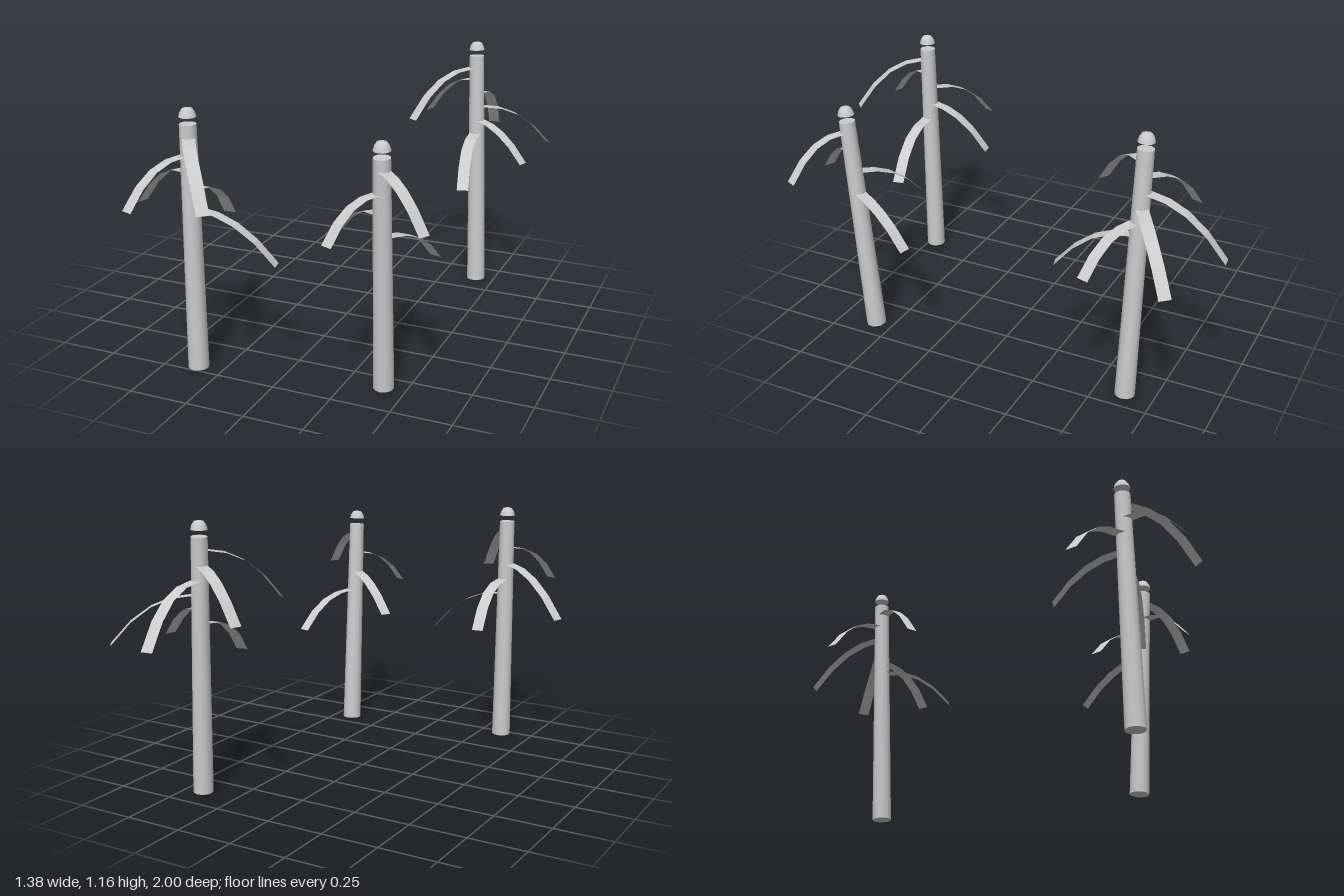
import * as THREE from 'three';

const bark = new THREE.MeshStandardMaterial({ color: 0xcccccc });
const leaf = new THREE.MeshStandardMaterial({ color: 0xcccccc, flatShading: true, side: THREE.DoubleSide });
const UP = new THREE.Vector3(0, 1, 0);

// Foot and head of each trunk; frond tips run from the highest frond to the lowest
const TREES = [
  { foot: [-0.357, 0, 0.714], head: [-0.356, 1.035, 0.716],
    tips: [[-0.15, 0.775, 0.98], [-0.485, 0.74, 0.973], [-0.68, 0.63, 0.567], [-0.356, 0.575, 0.41], [0, 0.497, 0.69]] },
  { foot: [0.407, 0, 0.58], head: [0.418, 0.975, 0.65],
    tips: [[0.64, 0.75, 0.797], [0.285, 0.678, 0.857], [0.152, 0.58, 0.472], [0.527, 0.488, 0.33]] },
  { foot: [0.415, 0, -0.628], head: [0.372, 1.09, -0.653],
    tips: [[0.155, 0.825, -0.4], [0.105, 0.778, -0.784], [0.372, 0.69, -0.995], [0.675, 0.655, -0.863], [0.646, 0.637, -0.525], [0.43, 0.548, -0.31]] },
];

// Drooping strip from the trunk to the tip, bowed slightly sideways
function frondGeometry(base, tip, segments = 4, width = 0.051) {
  const run = new THREE.Vector3(tip.x - base.x, 0, tip.z - base.z);
  const side = new THREE.Vector3().crossVectors(run, UP).normalize();
  const at = (t) => base.clone().addScaledVector(run, t)
    .addScaledVector(UP, (tip.y - base.y) * t ** 2.4)
    .addScaledVector(side, 0.012 * Math.sin(Math.PI * t));
  const pos = [], index = [];
  for (let i = 0; i <= segments; i++) {
    const t = 0.08 + 0.92 * i / segments;
    const p = at(t);
    const across = at(t + 0.05).sub(at(t - 0.05 < 0 ? 0 : t - 0.05)).cross(UP).normalize();
    for (const s of [-0.5, 0.5]) pos.push(...p.clone().addScaledVector(across, s * width).toArray());
    if (i < segments) {
      const a = i * 2;
      index.push(a, a + 1, a + 2, a + 1, a + 3, a + 2);
    }
  }
  const g = new THREE.BufferGeometry();
  g.setAttribute('position', new THREE.Float32BufferAttribute(pos, 3));
  g.setIndex(index);
  g.computeVertexNormals();
  return g;
}

function add(group, name, geometry, material) {
  const mesh = new THREE.Mesh(geometry, material);
  mesh.name = name;
  group.add(mesh);
  return mesh;
}

function makeTree({ foot, head, tips }) {
  const tree = new THREE.Group();
  tree.name = 'palmTree';
  const a = new THREE.Vector3(...foot), b = new THREE.Vector3(...head);
  const axis = b.clone().sub(a);
  const height = axis.length();
  const lean = new THREE.Quaternion().setFromUnitVectors(UP, axis.clone().normalize());

  // Tapered, leaning trunk
  const trunk = add(tree, 'trunk', new THREE.CylinderGeometry(0.034, 0.043, height, 12), bark);
  trunk.position.copy(a).lerp(b, 0.5);
  trunk.quaternion.copy(lean);

  // Small dome hovering above the trunk
  const profile = [[0, 0], [0.035, 0], [0.035, 0], [0.03, 0.018], [0.02, 0.033], [0, 0.038]];
  const cap = add(tree, 'crownCap',
    new THREE.LatheGeometry(profile.map(([x, y]) => new THREE.Vector2(x, y)), 12), bark);
  cap.position.copy(a).addScaledVector(axis, 1 + 0.028 / height);
  cap.quaternion.copy(lean);

  // Fronds step down the trunk in a spiral
  tips.forEach((tip, i) => {
    const base = a.clone().addScaledVector(axis, 0.95 - 0.28 * i / (tips.length - 1));
    add(tree, 'frond', frondGeometry(base, new THREE.Vector3(...tip)), leaf);
  });
  return tree;
}

export function createModel() {
  const model = new THREE.Group();
  model.name = 'palmGrove';
  for (const spec of TREES) model.add(makeTree(spec));
  return model;
}
